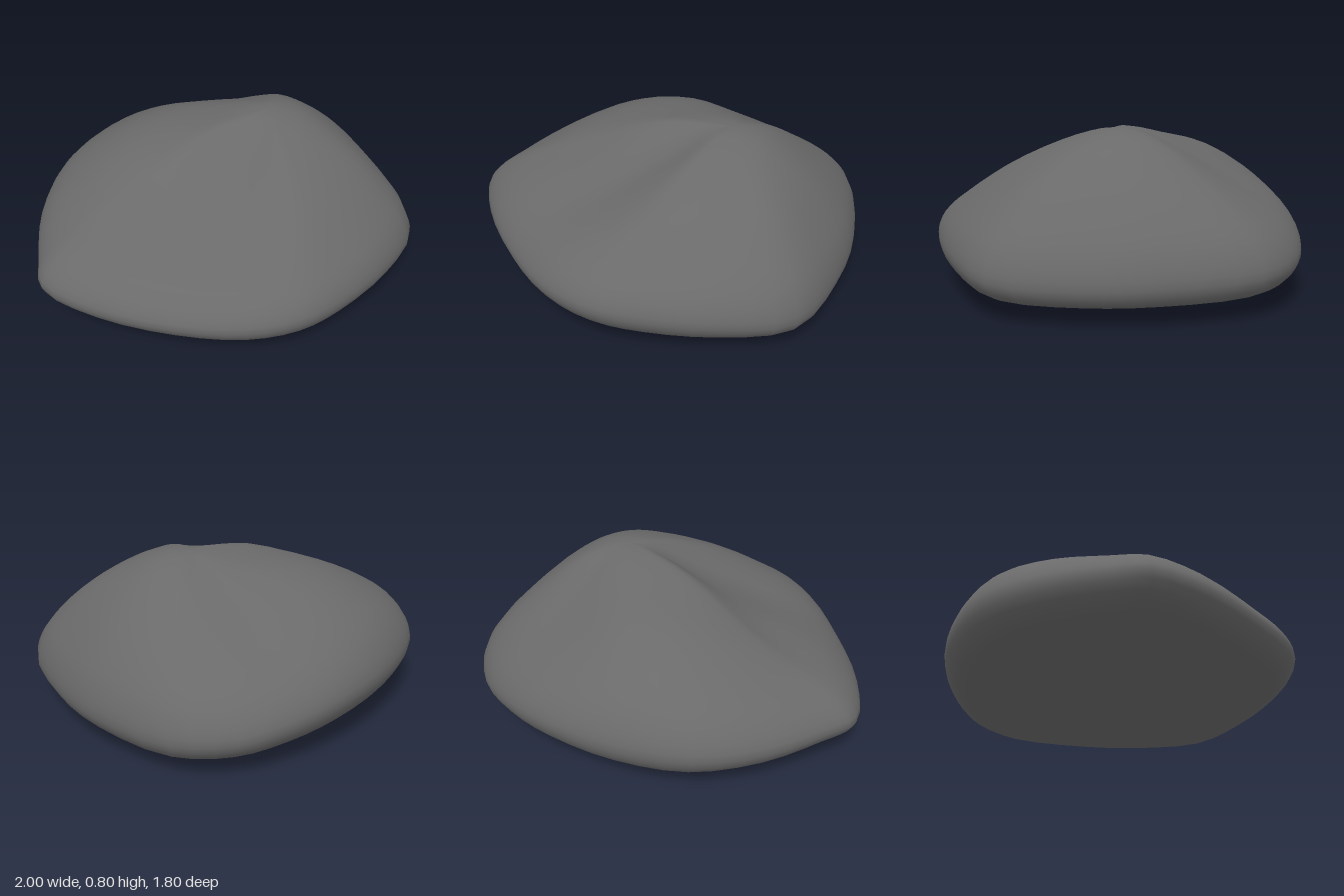
import * as THREE from 'three';
import { mergeVertices } from 'three/addons/utils/BufferGeometryUtils.js';

// One row per spoke around the rock:
// rim x, rim z, rim height, then surface height at 30%, 60% and 85% of the way out
const SPOKES = [
  [1.00, -0.10, 0.19, 0.755, 0.61, 0.43],
  [0.96, 0.26, 0.18, 0.755, 0.61, 0.42],
  [0.82, 0.64, 0.19, 0.74, 0.60, 0.42],
  [0.50, 0.81, 0.22, 0.74, 0.60, 0.43],
  [0.13, 0.89, 0.24, 0.735, 0.60, 0.43],
  [-0.12, 0.89, 0.25, 0.73, 0.59, 0.43],
  [-0.36, 0.79, 0.24, 0.70, 0.55, 0.42],
  [-0.62, 0.57, 0.23, 0.67, 0.51, 0.40],
  [-0.88, 0.26, 0.24, 0.68, 0.53, 0.42],
  [-1.00, -0.01, 0.25, 0.73, 0.55, 0.43],
  [-0.94, -0.17, 0.26, 0.755, 0.60, 0.45],
  [-0.78, -0.47, 0.27, 0.755, 0.65, 0.49],
  [-0.54, -0.72, 0.28, 0.75, 0.67, 0.52],
  [-0.19, -0.86, 0.28, 0.745, 0.66, 0.52],
  [0.18, -0.90, 0.27, 0.73, 0.60, 0.47],
  [0.47, -0.86, 0.24, 0.715, 0.56, 0.43],
  [0.72, -0.76, 0.21, 0.72, 0.56, 0.41],
  [0.92, -0.55, 0.20, 0.74, 0.58, 0.42],
];
const PEAK = { x: 0.35, y: 0.8, z: 0 };
const STEPS = 3; // samples per control segment

// Cross-section from the peak, over the shoulder and rim, to the underside centre
function spokeCurve([x, z, rim, h1, h2, h3]) {
  const at = (t, y) => new THREE.Vector3(
    THREE.MathUtils.lerp(PEAK.x, x, t), y, THREE.MathUtils.lerp(PEAK.z, z, t));
  return new THREE.CatmullRomCurve3([
    at(0, PEAK.y),
    at(0.1, PEAK.y - (PEAK.y - h1) * 0.12),
    at(0.3, h1),
    at(0.6, h2),
    at(0.85, h3),
    at(0.96, THREE.MathUtils.lerp(rim, h3, 0.5)),
    at(1, rim),
    at(0.94, rim * 0.6),
    at(0.8, rim * 0.42),
    at(0.45, rim * 0.13),
    at(0, 0.003),
  ]);
}

function rockGeometry() {
  const curves = SPOKES.map(spokeCurve);
  const rings = (curves[0].points.length - 1) * STEPS;
  const around = SPOKES.length * STEPS;
  const positions = [];
  const index = [];

  // Smooth closed loops through the spokes
  for (let j = 0; j <= rings; j++) {
    const loop = new THREE.CatmullRomCurve3(curves.map((c) => c.getPoint(j / rings)), true);
    const pole = j === 0 || j === rings;
    for (let i = 0; i < around; i++) {
      const p = pole ? loop.points[0] : loop.getPoint(i / around);
      positions.push(p.x, Math.max(0, p.y), p.z);
    }
  }

  // Skin between neighbouring loops, with single triangles at the poles
  for (let j = 0; j < rings; j++) {
    for (let i = 0; i < around; i++) {
      const k = (i + 1) % around;
      const a = j * around + i, b = j * around + k;
      const c = a + around, d = b + around;
      if (j > 0) index.push(a, b, c);
      if (j < rings - 1) index.push(b, d, c);
    }
  }

  const geometry = new THREE.BufferGeometry();
  geometry.setAttribute('position', new THREE.Float32BufferAttribute(positions, 3));
  geometry.setIndex(index);
  const welded = mergeVertices(geometry);
  welded.computeVertexNormals();
  return welded;
}

export function createModel() {
  const stone = new THREE.MeshStandardMaterial({ color: 0x6a6a6a });
  stone.name = 'stone grey';

  const rock = new THREE.Mesh(rockGeometry(), stone);
  rock.name = 'rock';

  const group = new THREE.Group();
  group.name = 'boulder';
  group.add(rock);
  return group;
}
